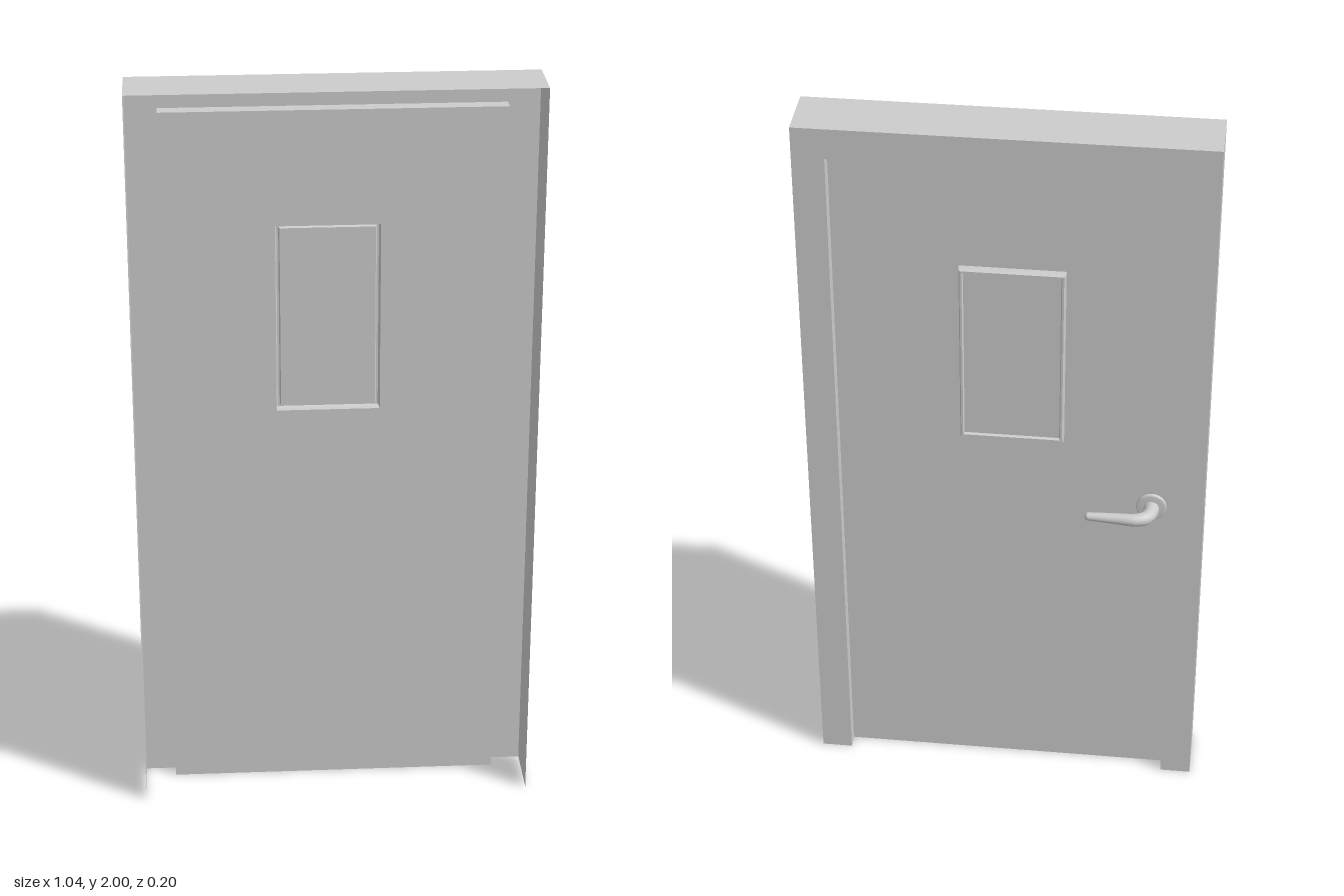
import * as THREE from 'three';

const material = new THREE.MeshStandardMaterial({ color: 0xcccccc, side: THREE.DoubleSide });
const DOOR_Z = -0.018;

function add(parent, name, geometry, x = 0, y = 0, z = 0) {
  const mesh = new THREE.Mesh(geometry, material);
  mesh.name = name;
  mesh.position.set(x, y, z);
  parent.add(mesh);
  return mesh;
}

// Folded sheet: joins rails of [x, y, z] points with flat quads
function foldedSheet(rails) {
  const positions = [];
  for (let r = 0; r < rails.length - 1; r++) {
    for (let i = 0; i < rails[r].length - 1; i++) {
      const a = rails[r][i], b = rails[r][i + 1];
      const c = rails[r + 1][i + 1], d = rails[r + 1][i];
      positions.push(...a, ...d, ...b, ...b, ...d, ...c);
    }
  }
  const geometry = new THREE.BufferGeometry();
  geometry.setAttribute('position', new THREE.Float32BufferAttribute(positions, 3));
  geometry.computeVertexNormals();
  return geometry;
}

// Tube that narrows from full radius to endScale along its length
function taperedTube(curve, radius, endScale, steps, sides) {
  const geometry = new THREE.TubeGeometry(curve, steps, radius, sides);
  const p = geometry.attributes.position;
  const v = new THREE.Vector3();
  for (let i = 0; i < p.count; i++) {
    const t = Math.floor(i / (sides + 1)) / steps;
    const centre = curve.getPointAt(t);
    v.fromBufferAttribute(p, i).sub(centre)
      .multiplyScalar(THREE.MathUtils.lerp(1, endScale, t)).add(centre);
    p.setXYZ(i, v.x, v.y, v.z);
  }
  return geometry;
}

export function createModel() {
  const model = new THREE.Group();
  model.name = 'door';

  // Sheet frame: jamb, back face and the return that meets the leaf
  const frameProfile = [[0, 0.1], [0, -0.056], [0.082, -0.056], [0.082, DOOR_Z]];
  add(model, 'doorFrame', foldedSheet(frameProfile.map(([d, z]) => {
    const w = 0.522 - d, h = 2 - d;
    return [[-w, 0, z], [-w, h, z], [w, h, z], [w, 0, z]];
  })));

  // Door leaf with a window opening
  const win = { x: -0.015, y: 1.358, w: 0.135, h: 0.256 };
  const leaf = new THREE.Shape();
  leaf.moveTo(-0.44, 0).lineTo(0.44, 0).lineTo(0.44, 1.918).lineTo(-0.44, 1.918).closePath();
  const opening = new THREE.Path();
  opening.moveTo(win.x - win.w, win.y - win.h).lineTo(win.x - win.w, win.y + win.h)
    .lineTo(win.x + win.w, win.y + win.h).lineTo(win.x + win.w, win.y - win.h).closePath();
  leaf.holes.push(opening);
  add(model, 'doorLeaf', new THREE.ShapeGeometry(leaf), 0, 0, DOOR_Z);

  // Window moulding pressed towards the back, and the pane inside it
  const mouldingProfile = [[0, 0], [0.001, -0.016], [0.004, -0.021], [0.009, -0.021], [0.012, -0.014]];
  add(model, 'windowMoulding', foldedSheet(mouldingProfile.map(([d, z]) => {
    const w = win.w - d, h = win.h - d;
    return [[-w, -h, z], [-w, h, z], [w, h, z], [w, -h, z], [-w, -h, z]];
  })), win.x, win.y, DOOR_Z);
  add(model, 'windowPane', new THREE.PlaneGeometry(2 * (win.w - 0.012), 2 * (win.h - 0.012)),
    win.x, win.y, DOOR_Z - 0.014);

  // Lever handle on the back
  const handle = new THREE.Group();
  handle.name = 'handle';
  handle.position.set(-0.383, 0.903, DOOR_Z);
  model.add(handle);

  const roseProfile = [[0.04, 0], [0.04, 0.006], [0.036, 0.01], [0, 0.01]]
    .map(([r, y]) => new THREE.Vector2(r, y));
  add(handle, 'rose', new THREE.LatheGeometry(roseProfile, 32)).rotation.x = -Math.PI / 2;

  const path = new THREE.CatmullRomCurve3([
    [0, 0, 0], [0, 0, -0.028], [0.01, 0, -0.052], [0.036, 0, -0.065],
    [0.09, 0, -0.0645], [0.162, 0, -0.063],
  ].map((p) => new THREE.Vector3(...p)));
  add(handle, 'lever', taperedTube(path, 0.021, 0.52, 40, 20));
  add(handle, 'leverTip', new THREE.SphereGeometry(0.0109, 20, 12), 0.162, 0, -0.063).scale.x = 0.8;

  return model;
}
